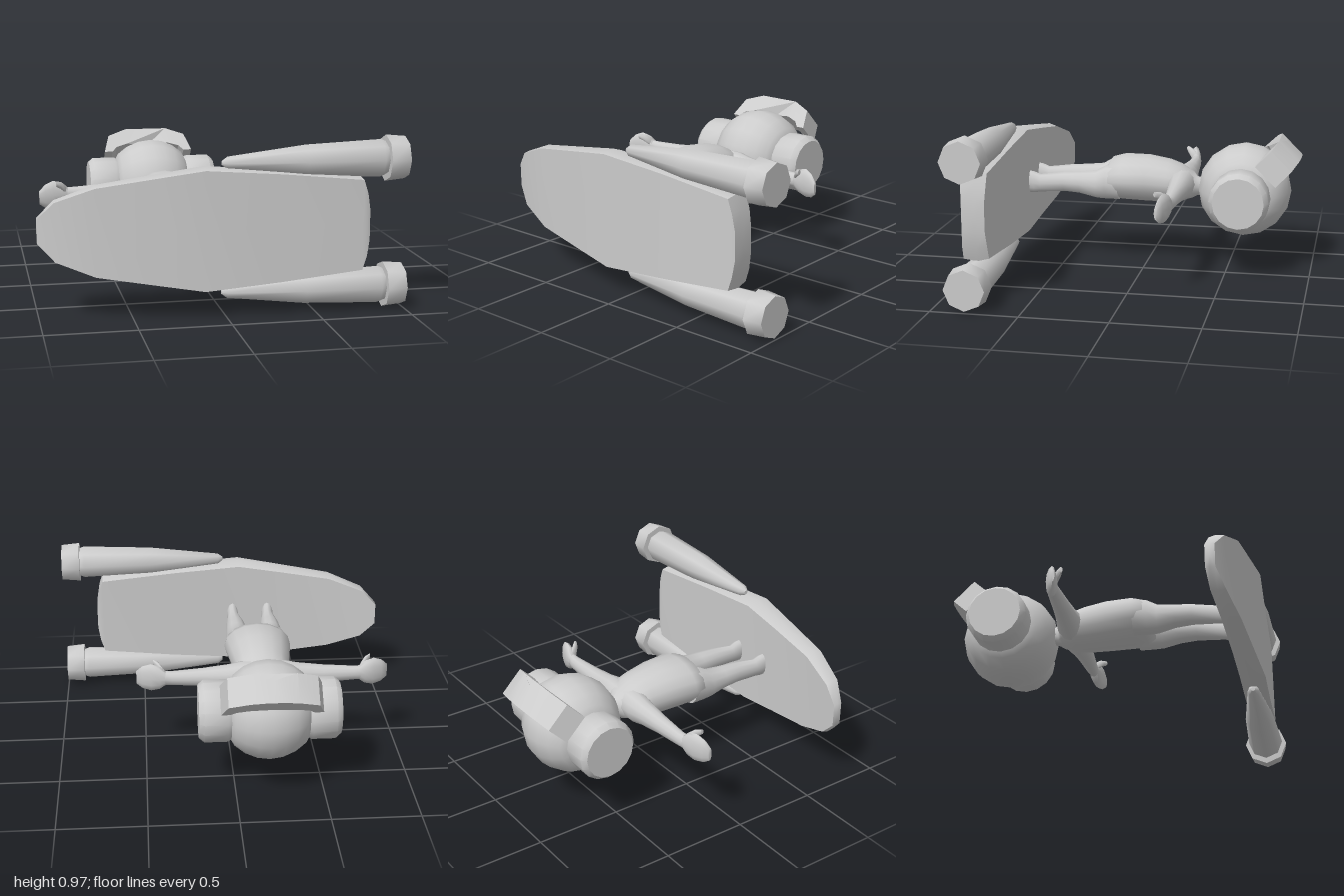
import * as THREE from 'three';
import { toCreasedNormals } from 'three/addons/utils/BufferGeometryUtils.js';

const material = new THREE.MeshStandardMaterial({ color: 0xcccccc });
const CX = -0.19; // centre line of the figure
const HEAD = [CX, 0.475, -0.59];

const circle = (n) => Array.from({ length: n }, (_, i) => {
  const a = (i / n) * Math.PI * 2;
  return [Math.cos(a), Math.sin(a)];
});

// Skins rings [z, centreX, centreY, radiusX, radiusY] running toward +z, with end caps
function loft(rings, section = circle(12)) {
  const n = section.length, pos = [], idx = [];
  for (const [z, cx, cy, rx, ry] of rings)
    for (const [u, v] of section) pos.push(cx + u * rx, cy + v * ry, z);
  for (let r = 0; r < rings.length - 1; r++)
    for (let i = 0; i < n; i++) {
      const a = r * n + i, b = r * n + ((i + 1) % n);
      idx.push(a, b, b + n, a, b + n, a + n);
    }
  const first = rings[0], last = rings[rings.length - 1], c = pos.length / 3;
  pos.push(first[1], first[2], first[0], last[1], last[2], last[0]);
  const top = (rings.length - 1) * n;
  for (let i = 0; i < n; i++) {
    const j = (i + 1) % n;
    idx.push(c, j, i, c + 1, top + i, top + j);
  }
  const g = new THREE.BufferGeometry();
  g.setAttribute('position', new THREE.Float32BufferAttribute(pos, 3));
  g.setIndex(idx);
  g.computeVertexNormals();
  return g;
}

// Lathe profile [radius, height] laid along +x (side 1) or -x (side -1)
function latheX(profile, segments, side = 1) {
  const g = new THREE.LatheGeometry(profile.map(([r, h]) => new THREE.Vector2(r, h)), segments);
  return g.rotateZ(-side * Math.PI / 2);
}

function add(parent, name, geometry, crease = 0.9) {
  const mesh = new THREE.Mesh(toCreasedNormals(geometry, crease), material);
  mesh.name = name;
  parent.add(mesh);
  return mesh;
}

function makeBoard() {
  const board = new THREE.Group();
  board.name = 'hoverBoard';
  // Deck: x, centre z, half thickness, half width
  const stations = [
    [-1, 0.683, 0.027, 0.07], [-0.91, 0.712, 0.042, 0.168], [-0.7, 0.757, 0.053, 0.25],
    [-0.4, 0.787, 0.062, 0.298], [-0.12, 0.812, 0.073, 0.342], [0.3, 0.807, 0.073, 0.308],
    [0.75, 0.805, 0.074, 0.26], [0.775, 0.805, 0.072, 0.18], [0.79, 0.805, 0.066, 0.085],
  ];
  const section = [[1, -0.93], [1, 0.93], [0.1, 1], [-1, 0.96], [-1, -0.96], [0.1, -1]];
  const deck = loft(stations.map(([x, z, t, w]) => [x, -z, 0.483, t, w]), section);
  add(board, 'deck', deck.rotateY(Math.PI / 2));

  // Two tapering octagonal thrusters with flared collars
  const body = [[0, -0.02], [0.012, -0.02], [0.034, 0.01], [0.086, 0.44], [0.104, 0.86], [0.092, 0.89]];
  const collar = [[0, 0.885], [0.128, 0.89], [0.117, 1], [0, 1]];
  for (const y of [0.128, 0.837]) {
    add(board, 'thruster', latheX(body, 8)).position.set(0, y, 0.803);
    add(board, 'thrusterCollar', latheX(collar, 8)).position.set(0, y, 0.803);
  }
  return board;
}

function makeHead() {
  const head = new THREE.Group();
  head.name = 'head';
  head.position.set(...HEAD);

  // Sphere flattened at the sides
  const skull = new THREE.SphereGeometry(0.28, 16, 12).rotateZ(Math.PI / 2);
  const p = skull.attributes.position;
  for (let i = 0; i < p.count; i++) p.setX(i, THREE.MathUtils.clamp(p.getX(i), -0.23, 0.23));
  add(head, 'skull', skull);

  // Ear cups with chamfered rims
  const cup = [[0, 0.2], [0.155, 0.2], [0.175, 0.235], [0.175, 0.365], [0.15, 0.395], [0, 0.395]];
  for (const side of [1, -1]) add(head, 'earCup', latheX(cup, 16, side), 0.75);

  // Goggles: curved band pushed up on the forehead, with a nose notch
  const outer = [[0.28, 0.2], [0.245, 0.325], [0.13, 0.375], [0.05, 0.388], [0, 0.39]];
  const inner = [[0, 0.27], [0.05, 0.268], [0.13, 0.26], [0.2, 0.235], [0.23, 0.2]];
  const mirror = (pts) => pts.filter(([x]) => x > 0).map(([x, y]) => [-x, y]).reverse();
  const outline = [...outer, ...mirror(outer), ...mirror(inner), ...inner];
  const shape = new THREE.Shape(outline.map(([x, y]) => new THREE.Vector2(x, y)));
  const band = new THREE.ExtrudeGeometry(shape, { depth: 0.168, bevelEnabled: false });
  band.translate(0, 0, -0.088);
  const q = band.attributes.position;
  for (let i = 0; i < q.count; i++)
    if (q.getZ(i) > 0) q.setZ(i, q.getZ(i) - 0.045 * Math.max(0, 1 - Math.abs(q.getX(i)) / 0.12));
  add(head, 'goggles', band.rotateX(-Math.PI / 4), 0.5);
  return head;
}

function makeBody() {
  const body = new THREE.Group();
  body.name = 'body';
  body.position.x = CX;

  add(body, 'torso', loft([
    [-0.36, 0, 0.48, 0.045, 0.05], [-0.3, 0, 0.48, 0.05, 0.06], [-0.275, 0, 0.488, 0.11, 0.08],
    [-0.2, 0, 0.5, 0.155, 0.112], [-0.13, 0, 0.508, 0.162, 0.13], [0, 0, 0.52, 0.18, 0.14],
    [0.15, 0, 0.524, 0.2, 0.136], [0.22, 0, 0.52, 0.188, 0.12], [0.265, 0, 0.5, 0.12, 0.07],
  ], circle(16)), 1.2);

  for (const s of [1, -1]) {
    add(body, 'leg', loft([
      [0.16, s * 0.1, 0.51, 0.09, 0.11], [0.24, s * 0.1, 0.505, 0.088, 0.105],
      [0.3, s * 0.103, 0.49, 0.076, 0.086], [0.4, s * 0.106, 0.497, 0.066, 0.068],
      [0.5, s * 0.107, 0.498, 0.058, 0.06], [0.65, s * 0.11, 0.483, 0.037, 0.055],
      [0.69, s * 0.112, 0.488, 0.037, 0.066], [0.715, s * 0.112, 0.49, 0.034, 0.068],
    ]), 1.1);

    // Arm and mitten hand: distance out, z, y, half depth, half height
    const out = (rings) => loft(rings.map(([d, z, y, rz, ry]) => [d, -s * z, y, rz, ry]))
      .rotateY(s * Math.PI / 2);
    add(body, 'arm', out([
      [0.02, -0.21, 0.5, 0.085, 0.09], [0.13, -0.215, 0.5, 0.076, 0.088],
      [0.2, -0.214, 0.5, 0.064, 0.072], [0.35, -0.214, 0.5, 0.049, 0.054],
      [0.53, -0.215, 0.5, 0.035, 0.042], [0.58, -0.212, 0.5, 0.027, 0.044],
    ]), 1.1);
    add(body, 'hand', out([
      [0.56, -0.213, 0.5, 0.028, 0.04], [0.6, -0.208, 0.5, 0.033, 0.072],
      [0.65, -0.2, 0.5, 0.03, 0.085], [0.7, -0.185, 0.495, 0.022, 0.07],
      [0.735, -0.173, 0.49, 0.012, 0.04],
    ]), 1.1);
    add(body, 'thumb', out([
      [0.575, -0.205, 0.53, 0.022, 0.025], [0.605, -0.175, 0.56, 0.021, 0.022],
      [0.635, -0.152, 0.573, 0.012, 0.016],
    ]), 1.1);
  }
  return body;
}

export function createModel() {
  const model = new THREE.Group();
  model.name = 'hoverBoardRider';
  model.add(makeBoard(), makeHead(), makeBody());
  return model;
}
